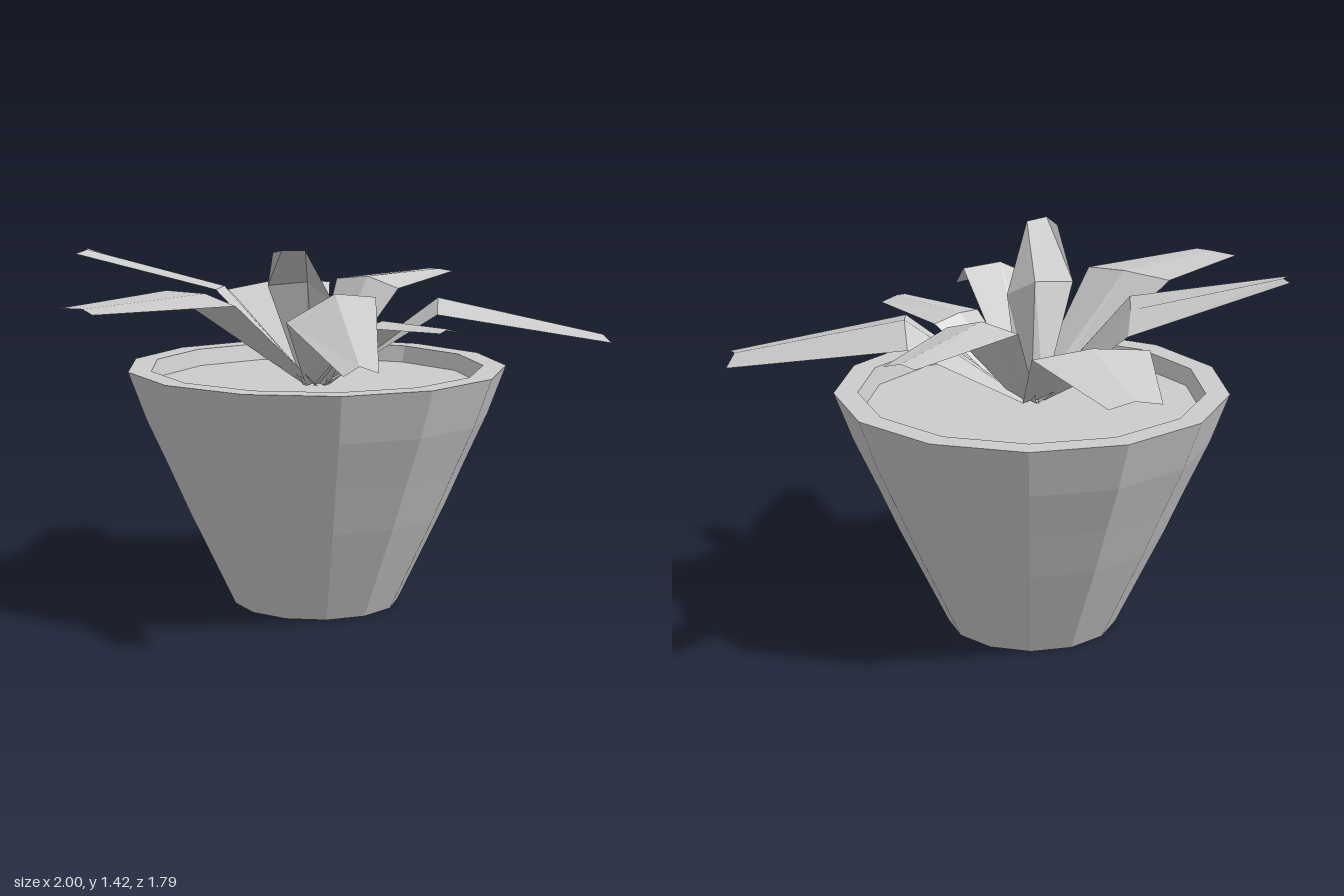
import * as THREE from 'three';

const SIDES = 13;
const CENTRE = [0.135, -0.07]; // pot axis in x, z
const CROWN = [0.1, -0.04]; // where the leaves sprout, in x, z
const SOIL_Y = 0.86;

const grey = (side = THREE.FrontSide) =>
  new THREE.MeshStandardMaterial({ color: 0xcccccc, flatShading: true, side });

// Each leaf: bend and tip sections, both as [left edge, ridge, right edge]
const LEAVES = {
  leftLeaf: [
    [[-0.43, 1.245, -0.31], [-0.44, 1.25, -0.1], [-0.49, 1.225, 0.1]],
    [[-0.97, 1.23, -0.29], [-0.965, 1.235, -0.18], [-1, 1.225, -0.09]]],
  rightLeaf: [
    [[0.46, 1.205, 0.07], [0.44, 1.245, -0.07], [0.44, 1.225, -0.23]],
    [[1, 1.22, -0.08], [0.97, 1.23, -0.13], [0.98, 1.225, -0.2]]],
  frontRightLeaf: [
    [[0.26, 1.15, 0.42], [0.43, 1.19, 0.29], [0.6, 1.14, 0.14]],
    [[0.72, 1.04, 0.89], [0.78, 1.06, 0.81], [0.88, 1.035, 0.76]]],
  backRightLeaf: [
    [[0.57, 1.19, -0.38], [0.38, 1.205, -0.5], [0.18, 1.17, -0.61]],
    [[0.67, 1.11, -0.76], [0.57, 1.12, -0.8], [0.49, 1.1, -0.86]]],
  backLeftLeaf: [
    [[0.09, 1.17, -0.46], [-0.05, 1.225, -0.38], [-0.2, 1.23, -0.28]],
    [[-0.29, 1.355, -0.9], [-0.33, 1.355, -0.85], [-0.41, 1.345, -0.83]]],
  frontLeftLeaf: [
    [[-0.39, 1.17, 0.25], [-0.23, 1.265, 0.34], [-0.11, 1.25, 0.43]],
    [[-0.59, 1.045, 0.69], [-0.53, 1.075, 0.71], [-0.5, 1.055, 0.77]]],
  frontLeaf: [
    [[-0.04, 1.12, 0.31], [0.08, 1.135, 0.305], [0.19, 1.11, 0.34]],
    [[-0.03, 1.13, 0.66], [0.03, 1.14, 0.65], [0.09, 1.12, 0.68]]],
  uprightLeaf: [
    [[-0.16, 1.26, -0.05], [-0.04, 1.27, 0.04], [-0.04, 1.2, 0.17]],
    [[-0.36, 1.41, 0.16], [-0.4, 1.425, 0.24], [-0.31, 1.42, 0.27]]],
};

// Narrow root section: points toward the bend, and lies across the leaf
function rootSection(bend) {
  const out = new THREE.Vector3(bend[1][0] - CROWN[0], 0, bend[1][2] - CROWN[1]).normalize();
  const across = new THREE.Vector3(bend[2][0] - bend[0][0], 0, bend[2][2] - bend[0][2]).normalize();
  return [-1, 0, 1].map((s) => [
    CROWN[0] + out.x * 0.03 + across.x * s * 0.045,
    SOIL_Y + (s === 0 ? 0.01 : 0),
    CROWN[1] + out.z * 0.03 + across.z * s * 0.045,
  ]);
}

// Strip of quads joining the three cross-sections
function leafGeometry(bend, tip) {
  const rows = [rootSection(bend), bend, tip];
  const index = [];
  for (let r = 0; r < 2; r++) {
    for (let c = 0; c < 2; c++) {
      const a = r * 3 + c;
      index.push(a, a + 1, a + 4, a, a + 4, a + 3);
    }
  }
  const geo = new THREE.BufferGeometry();
  geo.setAttribute('position', new THREE.Float32BufferAttribute(rows.flat(2), 3));
  geo.setIndex(index);
  geo.computeVertexNormals();
  return geo;
}

export function createModel() {
  const model = new THREE.Group();
  model.name = 'pottedPlant';

  // Tapered pot with a flat rim and an inner lip down to the soil
  const profile = [
    [0, 0], [0.322, 0], [0.412, 0.19], [0.498, 0.37], [0.579, 0.555], [0.663, 0.74],
    [0.731, 0.925], [0.642, 0.925], [0.62, SOIL_Y - 0.02],
  ].map(([r, y]) => new THREE.Vector2(r, y));
  const pot = new THREE.Mesh(new THREE.LatheGeometry(profile, SIDES, Math.PI), grey());
  pot.name = 'pot';
  pot.position.set(CENTRE[0], 0, CENTRE[1]);
  model.add(pot);

  // Soil disc
  const soil = new THREE.Mesh(
    new THREE.CircleGeometry(0.63, SIDES, Math.PI / 2).rotateX(-Math.PI / 2), grey());
  soil.name = 'soil';
  soil.position.set(CENTRE[0], SOIL_Y, CENTRE[1]);
  model.add(soil);

  // Creased leaves
  const leaves = new THREE.Group();
  leaves.name = 'leaves';
  for (const [name, [bend, tip]] of Object.entries(LEAVES)) {
    const leaf = new THREE.Mesh(leafGeometry(bend, tip), grey(THREE.DoubleSide));
    leaf.name = name;
    leaves.add(leaf);
  }
  model.add(leaves);

  return model;
}
